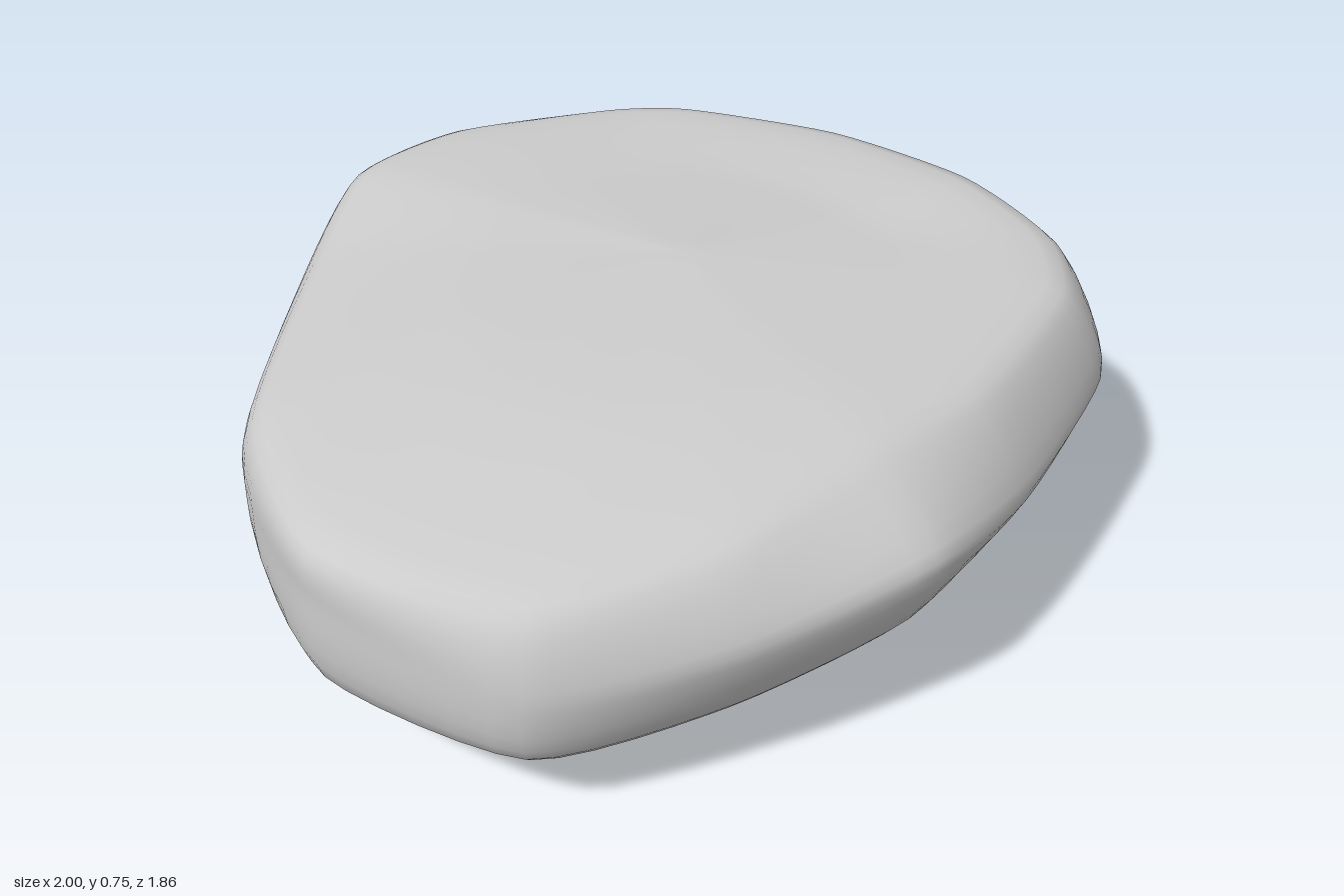
import * as THREE from 'three';
import { mergeVertices } from 'three/addons/utils/BufferGeometryUtils.js';

const V = (x, y, z) => new THREE.Vector3(x, y, z);

// Outline of the boulder, from its left round the front, right and back:
// x, z, rim height, top shoulder scale and height, lower edge scale and height
const outline = [
  [0.995, 0.36, 0.45, 0.89, 0.70, 0.88, 0.27],
  [0.86, 0.57, 0.45, 0.89, 0.68, 0.83, 0.26],
  [0.45, 0.79, 0.44, 0.86, 0.66, 0.88, 0.27],
  [0.08, 0.925, 0.50, 0.79, 0.66, 0.91, 0.29],
  [-0.35, 0.88, 0.44, 0.88, 0.62, 0.90, 0.22],
  [-0.76, 0.73, 0.40, 0.93, 0.58, 0.95, 0.21],
  [-0.995, 0.32, 0.48, 0.96, 0.61, 0.95, 0.23],
  [-0.92, -0.15, 0.46, 0.94, 0.61, 0.93, 0.22],
  [-0.55, -0.66, 0.48, 0.91, 0.63, 0.87, 0.22],
  [-0.27, -0.90, 0.57, 0.93, 0.68, 0.81, 0.23],
  [0.03, -0.93, 0.61, 0.92, 0.70, 0.79, 0.22],
  [0.40, -0.79, 0.58, 0.94, 0.71, 0.80, 0.22],
  [0.57, -0.66, 0.56, 0.94, 0.72, 0.80, 0.21],
  [0.80, -0.32, 0.50, 0.94, 0.73, 0.86, 0.21],
  [0.97, 0.06, 0.46, 0.89, 0.735, 0.87, 0.20],
];

// Belly below each outline point: x, y, z
const belly = [
  [0.60, 0.10, 0.18], [0.50, 0.09, 0.36], [0.35, 0.09, 0.48], [0.10, 0.09, 0.52],
  [-0.15, 0.08, 0.48], [-0.30, 0.10, 0.46], [-0.35, 0.11, 0.25], [-0.30, 0.11, 0],
  [-0.18, 0.12, -0.28], [-0.08, 0.13, -0.45], [0.05, 0.13, -0.50], [0.20, 0.11, -0.41],
  [0.32, 0.10, -0.30], [0.46, 0.10, -0.16], [0.60, 0.11, 0.02],
];

const top = V(0.1, 0.75, 0);
const bottom = V(0.28, 0, 0.12);
const AROUND = 90, DOWN = 36;

const spline = (points, closed) => new THREE.CatmullRomCurve3(points, closed, 'catmullrom', 0.32);
const ring = (f) => spline(outline.map(f), true);
const rimRing = ring(([x, z, y]) => V(x, y, z));
const topRing = ring(([x, z, , s, y]) => V(x * s, y, z * s));
const lowRing = ring(([x, z, , , , s, y]) => V(x * s, y, z * s));
const bellyRing = spline(belly.map((p) => V(...p)), true);

function boulderGeometry() {
  const pos = [], index = [];
  for (let j = 0; j < AROUND; j++) {
    const t = j / AROUND;
    const shoulder = topRing.getPoint(t);
    // Gently domed top, falling away to the lower right-hand side
    const crown = shoulder.clone().lerp(top, 0.45);
    crown.y = 0.72 + 0.25 * (shoulder.y - 0.68);
    // Section from the top, over the rim, to the lowest point
    const section = spline([top, crown, shoulder, rimRing.getPoint(t),
      lowRing.getPoint(t), bellyRing.getPoint(t), bottom], false);
    for (let k = 0; k <= DOWN; k++) {
      const u = k / DOWN, p = section.getPoint(u);
      // Shallow chips on the underside
      const chip = 0.014 * Math.exp(-(((u - 0.8) / 0.06) ** 2));
      if (k > 0 && k < DOWN) {
        p.y += chip * Math.sin(p.x * 11 + p.z * 5) * Math.sin(p.z * 13 - p.x * 4 + p.y * 9);
      }
      pos.push(p.x, p.y, p.z);
    }
  }
  const at = (j, k) => (j % AROUND) * (DOWN + 1) + k;
  for (let j = 0; j < AROUND; j++) {
    for (let k = 0; k < DOWN; k++) {
      const a = at(j, k), b = at(j + 1, k), c = at(j, k + 1), d = at(j + 1, k + 1);
      if (k > 0) index.push(a, b, c);
      if (k < DOWN - 1) index.push(b, d, c);
    }
  }
  const geo = new THREE.BufferGeometry();
  geo.setAttribute('position', new THREE.Float32BufferAttribute(pos, 3));
  geo.setIndex(index);
  // Weld the poles so the shading stays smooth
  const welded = mergeVertices(geo, 1e-5);
  welded.computeVertexNormals();
  return welded;
}

export function createModel() {
  const group = new THREE.Group();
  group.name = 'boulder';
  const rock = new THREE.Mesh(boulderGeometry(), new THREE.MeshStandardMaterial({ color: 0xcccccc }));
  rock.name = 'rock';
  group.add(rock);
  return group;
}
